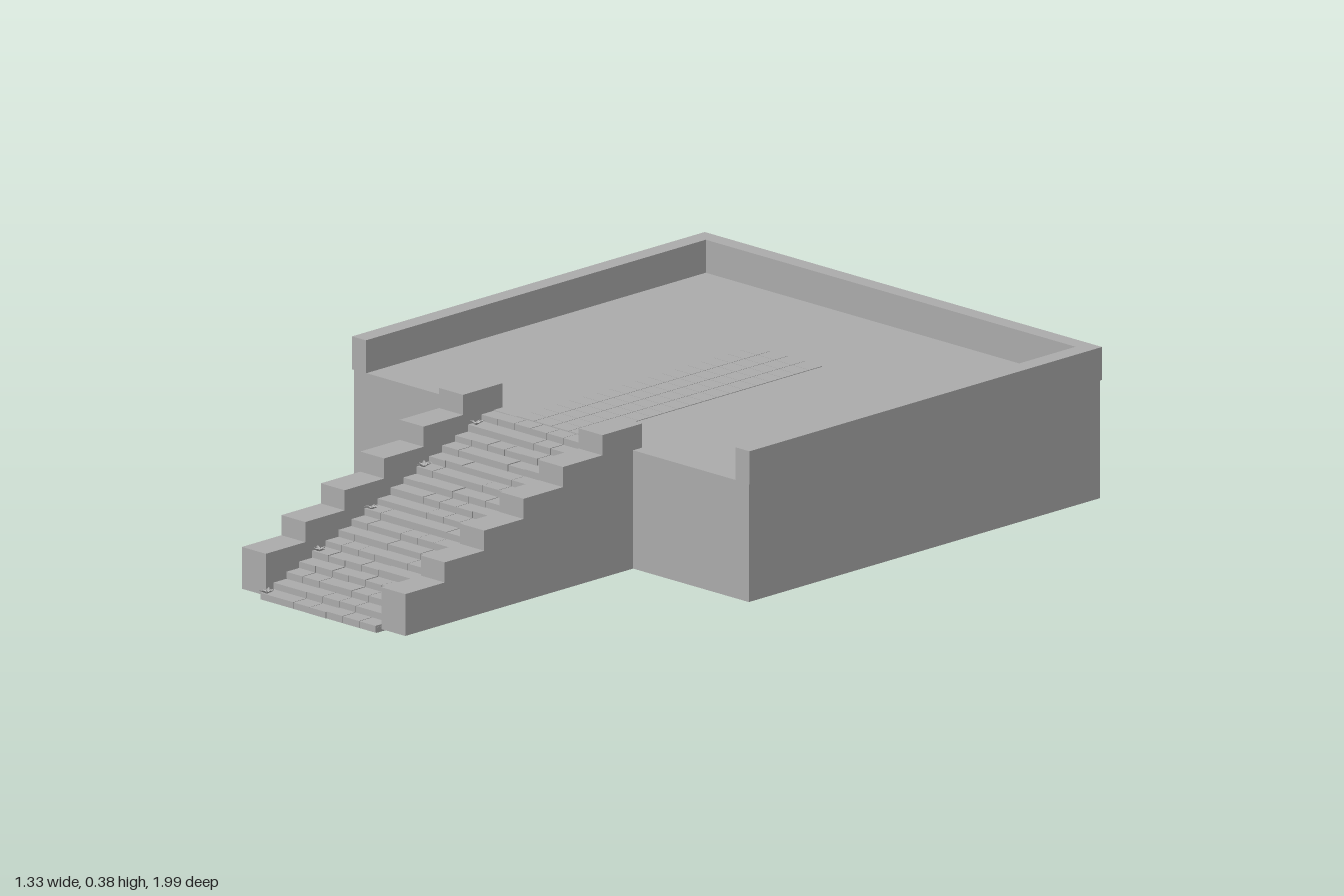
import * as THREE from 'three';

const stone = new THREE.MeshStandardMaterial({ color: 0xaaaaaa });
stone.name = 'grey stone';
const foliage = new THREE.MeshStandardMaterial({ color: 0xaaaaaa, side: THREE.DoubleSide });
foliage.name = 'grey leaf';

// Box given by its limits on each axis
function block(name, x0, x1, y0, y1, z0, z1) {
  const mesh = new THREE.Mesh(new THREE.BoxGeometry(x1 - x0, y1 - y0, z1 - z0), stone);
  mesh.position.set((x0 + x1) / 2, (y0 + y1) / 2, (z0 + z1) / 2);
  mesh.name = name;
  return mesh;
}

// Seeded random numbers from 0 to 1
function seeded(seed) {
  return () => (seed = (seed * 16807) % 2147483647) / 2147483647;
}

// Small tuft of pointed leaves fanning out from one root
function tuft(random) {
  const group = new THREE.Group();
  group.name = 'stepPlant';
  const blade = new THREE.BufferGeometry();
  blade.setAttribute('position', new THREE.Float32BufferAttribute(
    [0, 0, 0, 0.004, 0.009, 0.008, 0, 0.011, 0.021, -0.004, 0.009, 0.008], 3));
  blade.setIndex([0, 1, 2, 0, 2, 3]);
  blade.computeVertexNormals();
  for (let i = 0; i < 9; i++) {
    const leaf = new THREE.Mesh(blade, foliage);
    leaf.name = 'leaf';
    leaf.rotation.y = i * 2.4 + random();
    leaf.scale.setScalar(0.7 + random() * 0.4);
    group.add(leaf);
  }
  return group;
}

export function createModel() {
  const model = new THREE.Group();
  model.name = 'stoneTerrace';
  const random = seeded(71);

  // Terrace and its low wall on three sides
  model.add(block('platform', -0.66, 0.66, 0.006, 0.3, -0.997, 0.19));
  const wall = new THREE.Group();
  wall.name = 'parapet';
  wall.add(block('backWall', -0.664, 0.664, 0.3, 0.382, -1, -0.957));
  wall.add(block('rightWall', -0.664, -0.618, 0.3, 0.382, -0.957, 0.192));
  wall.add(block('leftWall', 0.618, 0.664, 0.3, 0.382, -0.957, 0.192));
  model.add(wall);

  // Stepped side walls of the staircase, cut from one profile
  const profile = new THREE.Shape();
  const run = 0.8 / 6;
  profile.moveTo(0.16, 0.006);
  profile.lineTo(0.96, 0.006);
  for (let i = 0; i < 6; i++) {
    profile.lineTo(0.96 - i * run, 0.11 + i * 0.05);
    profile.lineTo(0.96 - (i + 1) * run, 0.11 + i * 0.05);
  }
  const sideGeometry = new THREE.ExtrudeGeometry(profile, { depth: 0.08, bevelEnabled: false });
  sideGeometry.rotateY(-Math.PI / 2);
  for (const [name, x] of [['rightStairWall', -0.193], ['leftStairWall', 0.273]]) {
    const side = new THREE.Mesh(sideGeometry, stone);
    side.name = name;
    side.position.x = x;
    model.add(side);
  }

  // Staircase: solid steps faced with slightly uneven slabs
  const stairs = new THREE.Group();
  stairs.name = 'staircase';
  const steps = 18, depth = 0.79 / steps, rise = 0.298 / steps;
  for (let i = 0; i < steps; i++) {
    const z1 = 0.978 - i * depth, top = (i + 1) * rise;
    stairs.add(block('step', -0.193, 0.193, 0, top - 0.003, z1 - depth, z1 - 0.002));
    const joints = [-0.193];
    for (let c = 1; c < 7; c++) {
      if (random() > 0.25) joints.push(-0.193 + c * 0.0551);
    }
    joints.push(0.193);
    for (let c = 0; c + 1 < joints.length; c++) {
      stairs.add(block('stepSlab', joints[c] + 0.0008, joints[c + 1] - 0.0008,
        top - rise + 0.001, top + random() * 0.002, z1 - depth + 0.001, z1 + random() * 0.002));
    }
  }
  model.add(stairs);

  // Paved path, almost level with the terrace floor
  const path = new THREE.Group();
  path.name = 'path';
  for (let i = 0; i < 18; i++) {
    const z1 = 0.19 - i * 0.0444;
    for (let c = 0; c < 4; c++) {
      const x0 = -0.116 + c * 0.058;
      path.add(block('pathSlab', x0 + 0.0008, x0 + 0.0572, 0.298, 0.3015, z1 - 0.0436, z1 - 0.0008));
    }
  }
  model.add(path);

  // Plants alternating along both edges of the stairs
  for (let i = 0; i < 9; i++) {
    const plant = tuft(random);
    const z = 0.972 - i * 0.0885;
    const step = Math.min(steps, Math.floor((0.978 - z) / depth) + 1);
    plant.position.set(i % 2 ? 0.172 : -0.178, step * rise, z);
    model.add(plant);
  }
  return model;
}
